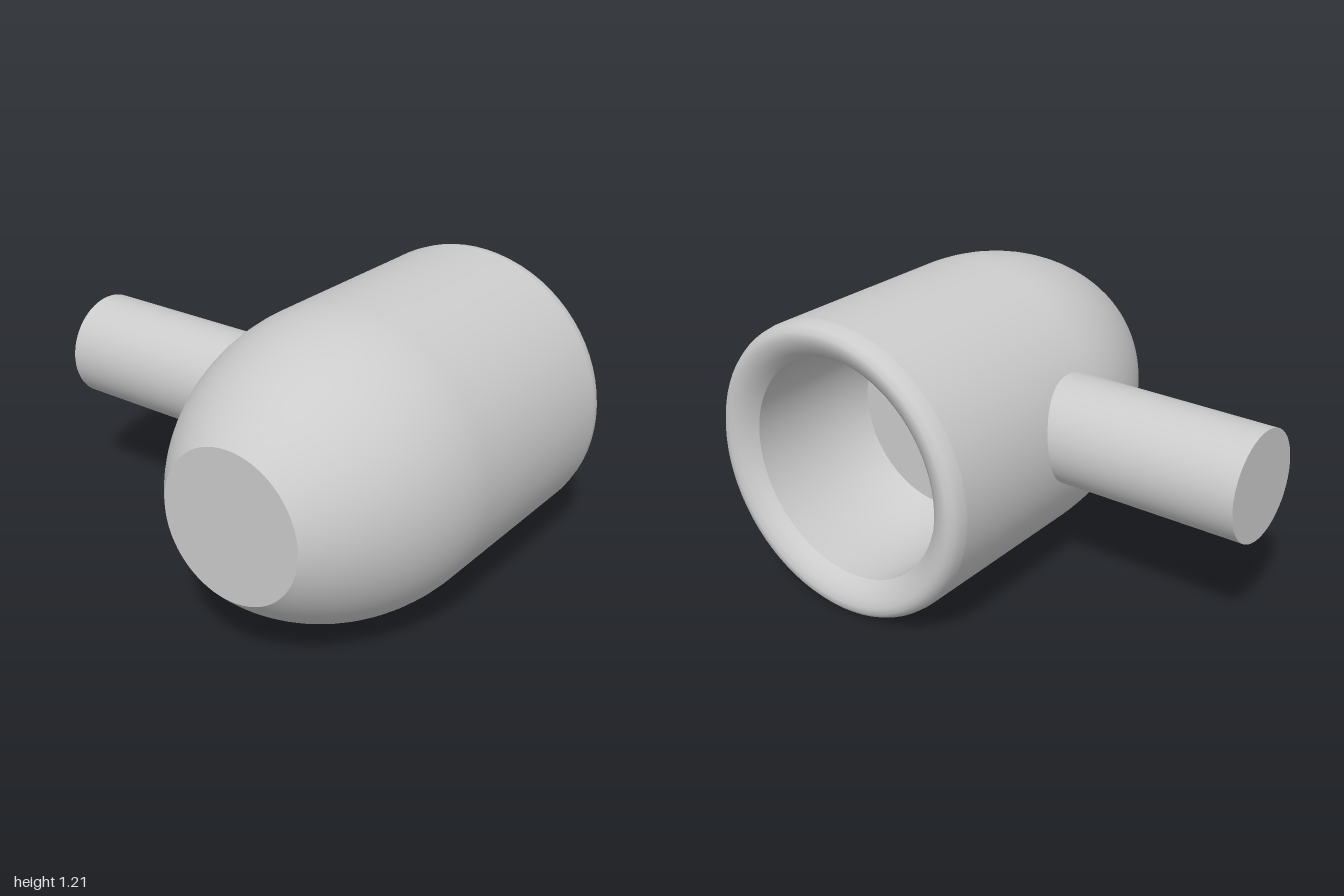
import * as THREE from 'three';

const material = new THREE.MeshStandardMaterial({ color: 0xcccccc });

// Surface turned about the z axis from [radius, z] points
function turned(name, points) {
  const geometry = new THREE.LatheGeometry(points.map(([r, z]) => new THREE.Vector2(r, z)), 72);
  geometry.rotateX(Math.PI / 2);
  const mesh = new THREE.Mesh(geometry, material);
  mesh.name = name;
  return mesh;
}

export function createModel() {
  const model = new THREE.Group();
  model.name = 'hollowHeadWithStem';

  const head = new THREE.Group();
  head.name = 'head';
  head.position.set(0.395, 0.605, 0);

  // Hollow socket in the back: flat floor, then a wall widening to the lip
  head.add(turned('socketFloor', [[0, -0.2], [0.38, -0.2]]));
  head.add(turned('socketWall', [
    [0.38, -0.2], [0.42, -0.3], [0.445, -0.44], [0.455, -0.6], [0.455, -0.745],
  ]));

  // Lip rolling from the socket edge to the outer wall
  head.add(turned('lip', [
    [0.455, -0.745], [0.48, -0.78], [0.515, -0.805], [0.545, -0.815], [0.57, -0.815],
    [0.59, -0.797], [0.601, -0.775], [0.605, -0.745],
  ]));

  // Straight wall running into a circular arc towards the nose
  const shell = [[0.605, -0.745], [0.605, -0.3]];
  const arcRadius = 0.99, arcStart = 0.1, steps = 20;
  const sweep = Math.asin((0.815 - arcStart) / arcRadius);
  for (let i = 0; i <= steps; i++) {
    const a = (i / steps) * sweep;
    shell.push([0.605 - arcRadius * (1 - Math.cos(a)), arcStart + arcRadius * Math.sin(a)]);
  }
  head.add(turned('shell', shell));

  // Flat nose
  const [noseRadius, noseZ] = shell[shell.length - 1];
  head.add(turned('noseFlat', [[noseRadius, noseZ], [0, noseZ]]));
  model.add(head);

  // Side stem, its inner end buried in the head's wall
  const stemGeometry = new THREE.CylinderGeometry(0.22, 0.22, 0.9, 48);
  stemGeometry.rotateZ(Math.PI / 2);
  const stem = new THREE.Mesh(stemGeometry, material);
  stem.name = 'stem';
  stem.position.set(-0.55, 0.67, -0.03);
  model.add(stem);

  return model;
}
